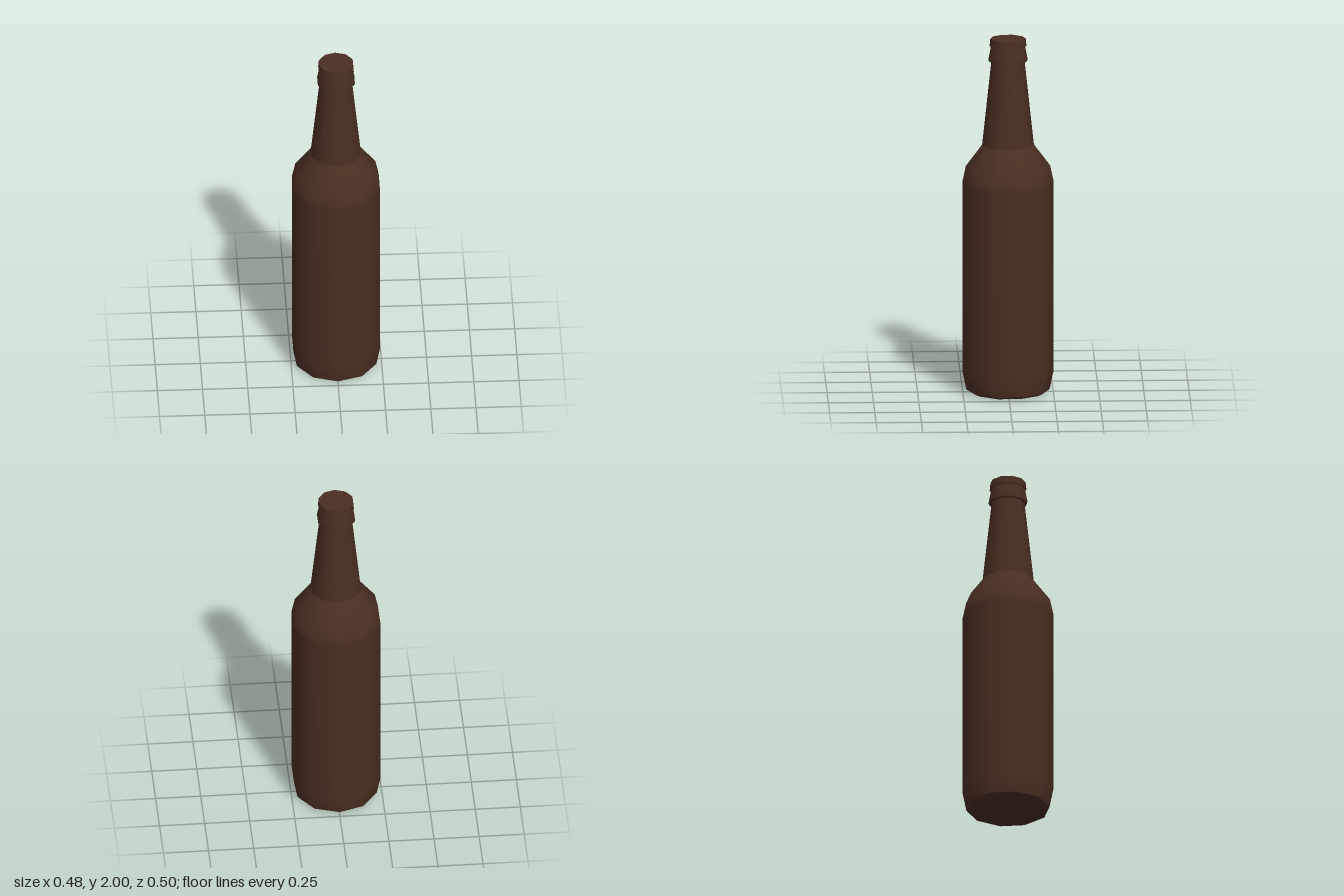
import * as THREE from 'three';

const SIDES = 10;

export function createModel() {
  const bottle = new THREE.Group();
  bottle.name = 'bottle';
  const glass = new THREE.MeshStandardMaterial({ color: 0x4a2e22 });

  // Each part is a turned profile of [radius, height], running upwards and outwards;
  // separate parts keep a crease where they meet.
  const turn = (name, profile) => {
    const points = profile.map(([r, y]) => new THREE.Vector2(r, y));
    const mesh = new THREE.Mesh(new THREE.LatheGeometry(points, SIDES), glass);
    mesh.name = name;
    bottle.add(mesh);
  };

  // Base and body
  turn('base', [[0, 0], [0.2, 0]]);
  turn('baseEdge', [[0.2, 0], [0.231, 0.015]]);
  turn('body', [[0.231, 0.015], [0.252, 0.12], [0.252, 1.19]]);

  // Shoulder and tapering neck
  turn('shoulder', [[0.252, 1.19], [0.233, 1.28], [0.143, 1.4]]);
  turn('neck', [[0.143, 1.4], [0.092, 1.872]]);

  // Flared collar under the mouth
  turn('collarUnderside', [[0.09, 1.872], [0.106, 1.872]]);
  turn('collar', [[0.106, 1.872], [0.108, 1.885], [0.094, 1.958]]);

  // Lip and closed top
  turn('lipUnderside', [[0.09, 1.958], [0.102, 1.958]]);
  turn('lip', [[0.102, 1.958], [0.098, 2]]);
  turn('top', [[0.098, 2], [0, 2]]);

  return bottle;
}
